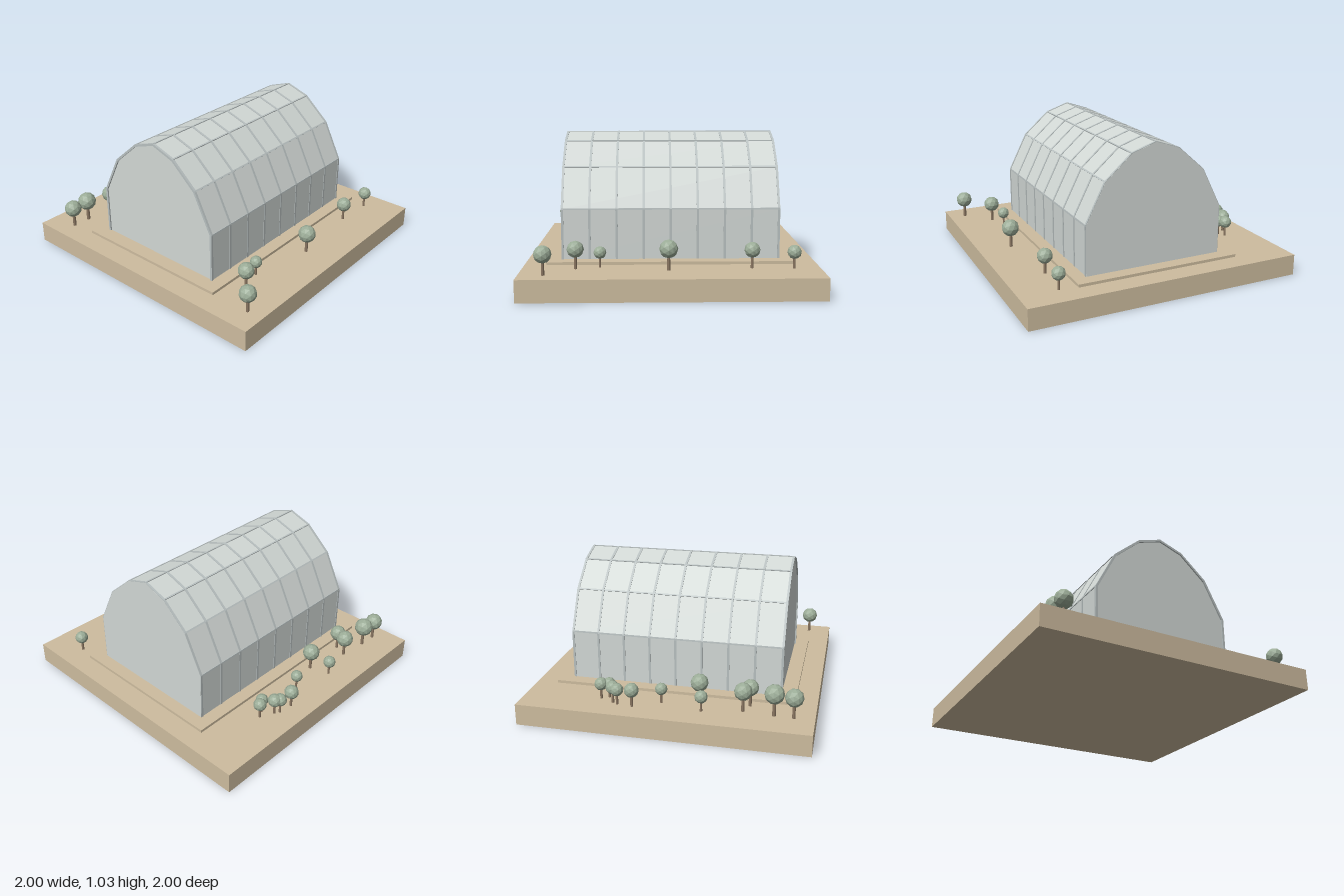
import * as THREE from 'three';

const mat = (name, color, flatShading = false) => {
  const m = new THREE.MeshStandardMaterial({ color, flatShading });
  m.name = name;
  return m;
};

// Half of the arched cross-section, from the floor to the ridge: [z, y]
const HALF = [[0.506, 0.17], [0.506, 0.52], [0.366, 0.796], [0.174, 0.965], [0, 1.024]];
const FULL = [...HALF, ...HALF.slice(0, -1).reverse().map(([z, y]) => [-z, y])];

// Cross-section pushed outwards (or inwards when negative)
const archPoints = (d) => FULL.map(([z, y]) => {
  if (y < 0.2) return new THREE.Vector2(z + Math.sign(z) * d, y);
  const n = new THREE.Vector2(z, y - 0.45).normalize();
  return new THREE.Vector2(z + n.x * d, y + n.y * d);
});

// Extrude a cross-section along x between two positions
function extrudeX(shape, x0, x1) {
  const g = new THREE.ExtrudeGeometry(shape, { depth: x1 - x0, bevelEnabled: false });
  return g.rotateY(Math.PI / 2).translate(x0, 0, 0);
}

export function createModel() {
  const model = new THREE.Group();
  model.name = 'archedGreenhouse';

  const sand = mat('sand', 0xcdbc9f);
  const glass = mat('paleGlass', 0xd2d8d5);
  const frame = mat('frameGrey', 0xb8c0c0);
  const leaf = mat('leafGreen', 0x9cad98, true);
  const bark = mat('barkBrown', 0x8c7863);

  const add = (parent, name, geometry, material, x = 0, y = 0, z = 0) => {
    const mesh = new THREE.Mesh(geometry, material);
    mesh.name = name;
    mesh.position.set(x, y, z);
    parent.add(mesh);
    return mesh;
  };

  // Ground slab and low plinth
  add(model, 'groundSlab', new THREE.BoxGeometry(2, 0.15, 2), sand, 0, 0.075, 0);
  add(model, 'plinth', new THREE.BoxGeometry(1.7, 0.02, 1.2), sand, 0, 0.16, 0);

  // Glazed hall, its left-hand end rib standing proud of the -x wall
  const hall = new THREE.Group();
  hall.name = 'hall';
  model.add(hall);
  add(hall, 'glassShell', extrudeX(new THREE.Shape(archPoints(0)), -0.746, 0.757), glass);

  // Nine arched ribs
  const ribShape = new THREE.Shape([...archPoints(0.004), ...archPoints(-0.012).reverse()]);
  const ribGeometry = extrudeX(ribShape, -0.008, 0.008);
  for (let i = 0; i < 9; i++) add(hall, 'rib', ribGeometry, frame, -0.748 + i * 0.187, 0, 0);

  // Purlins along each fold of the roof
  const purlinGeometry = new THREE.BoxGeometry(1.508, 0.011, 0.011);
  for (const [z, y] of FULL.slice(1, -1)) {
    const angle = Math.atan2(z, y - 0.45);
    const purlin = add(hall, 'purlin', purlinGeometry, frame, 0,
      y - 0.002 * Math.cos(angle), z - 0.002 * Math.sin(angle));
    purlin.rotation.x = angle;
  }

  // Trees: x, z, crown radius
  const trees = [
    [-0.86, -0.785, 0.063], [-0.73, -0.78, 0.068], [-0.52, -0.757, 0.062], [-0.556, -0.667, 0.058],
    [-0.25, -0.82, 0.045], [-0.21, -0.68, 0.062], [0.04, -0.75, 0.043], [0.22, -0.85, 0.051],
    [0.326, -0.84, 0.046], [0.362, -0.82, 0.048], [0.41, -0.746, 0.044], [0.46, -0.773, 0.046],
    [-0.834, 0.88, 0.06], [-0.64, 0.71, 0.058], [-0.48, 0.665, 0.043],
    [-0.02, 0.76, 0.063], [0.54, 0.71, 0.054], [0.82, 0.725, 0.048],
  ];
  for (const [x, z, r] of trees) {
    const tree = new THREE.Group();
    tree.name = 'tree';
    tree.position.set(x, 0.15, z);
    model.add(tree);
    const crownY = 0.008 + 2.17 * r;
    add(tree, 'trunk', new THREE.CylinderGeometry(r * 0.16, r * 0.2, crownY, 6), bark, 0, crownY / 2, 0);
    add(tree, 'crown', new THREE.IcosahedronGeometry(r, 1), leaf, 0, crownY, 0);
  }

  return model;
}
